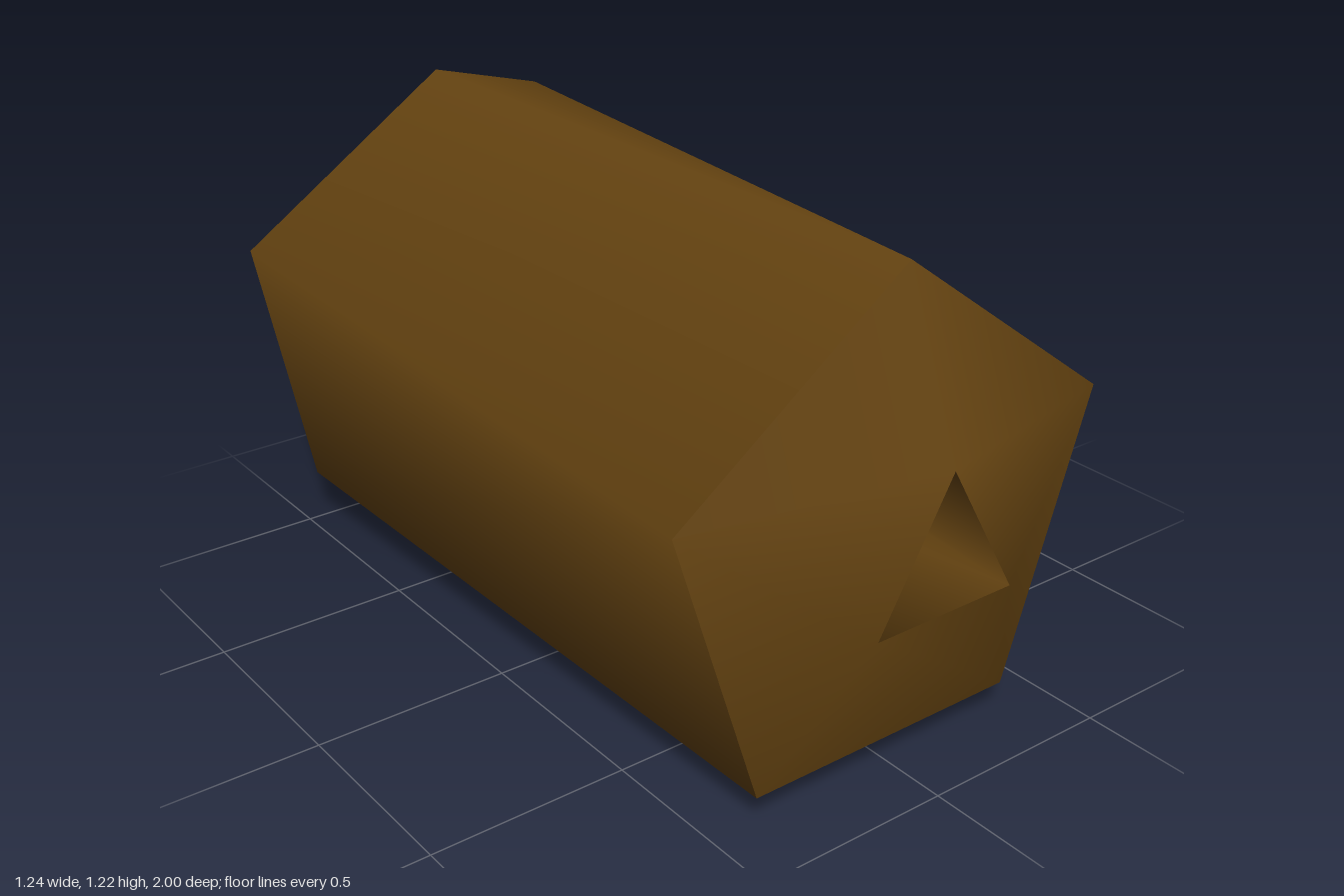
import * as THREE from 'three';

const CX = -0.017, CY = 0.587;   // axis of the tube
const R_OUT = 0.634, R_IN = 0.223;
const rad = THREE.MathUtils.degToRad;

// A ring of corners, listed clockwise from the top by angle in degrees
const ring = (angles, r, z) => ({ a: [...angles, angles[0] - 360], r, z });

const point = (g, i) => new THREE.Vector3(
  CX + g.r * Math.cos(rad(g.a[i])), CY + g.r * Math.sin(rad(g.a[i])), g.z);

// Skin between two rings with different corner counts, smooth around the axis
function skin(front, back, inward = false) {
  const pos = [], nor = [];
  const slope = new THREE.Vector2(front.z - back.z, back.r - front.r).normalize();
  const sign = inward ? -1 : 1;
  const put = (corners) => {
    if (inward) corners.reverse();
    for (const [g, i] of corners) {
      const t = rad(g.a[i]);
      pos.push(...point(g, i).toArray());
      nor.push(sign * slope.x * Math.cos(t), sign * slope.x * Math.sin(t), sign * slope.y);
    }
  };
  let i = 0, j = 0;
  const nA = front.a.length - 1, nB = back.a.length - 1;
  while (i < nA || j < nB) {
    // step along whichever ring gives the shorter diagonal
    const dA = i < nA ? Math.abs(front.a[i + 1] - back.a[j]) : Infinity;
    const dB = j < nB ? Math.abs(front.a[i] - back.a[j + 1]) : Infinity;
    if (dA <= dB) {
      put([[front, i], [front, i + 1], [back, j]]);
      i++;
    } else {
      put([[front, i], [back, j + 1], [back, j]]);
      j++;
    }
  }
  const geo = new THREE.BufferGeometry();
  geo.setAttribute('position', new THREE.Float32BufferAttribute(pos, 3));
  geo.setAttribute('normal', new THREE.Float32BufferAttribute(nor, 3));
  return geo;
}

export function createModel() {
  const group = new THREE.Group();
  group.name = 'facetedTube';
  const material = new THREE.MeshStandardMaterial({ color: 0x664411 });
  const add = (name, geo, mat = material) => {
    const mesh = new THREE.Mesh(geo, mat);
    mesh.name = name;
    group.add(mesh);
  };

  // The back rings have one rounded quarter and coarse sides elsewhere
  const mouth = ring([90, -30, -150], R_IN, 1);
  const shoulder = ring([90, 18, -54, -126, -198], R_OUT, 0.84);
  const backOuter = ring([90, 60, 30, 0, -67.5, -135, -202.5], R_OUT, -1);
  const backInner = ring([90, 60, 30, 0, -90, -180], R_IN, -1);

  add('taperedNose', skin(mouth, shoulder));
  add('outerWall', skin(shoulder, backOuter));
  add('bore', skin(mouth, backInner, true));

  // Flat back end with the bore cut out
  const flat = (g) => g.a.slice(0, -1).map((_, i) => {
    const p = point(g, i);
    return new THREE.Vector2(-p.x, p.y);
  });
  const shape = new THREE.Shape(flat(backOuter));
  shape.holes.push(new THREE.Path(flat(backInner)));
  const end = new THREE.ShapeGeometry(shape);
  end.rotateY(Math.PI);
  end.translate(0, 0, -1);
  add('backFace', end);

  return group;
}
